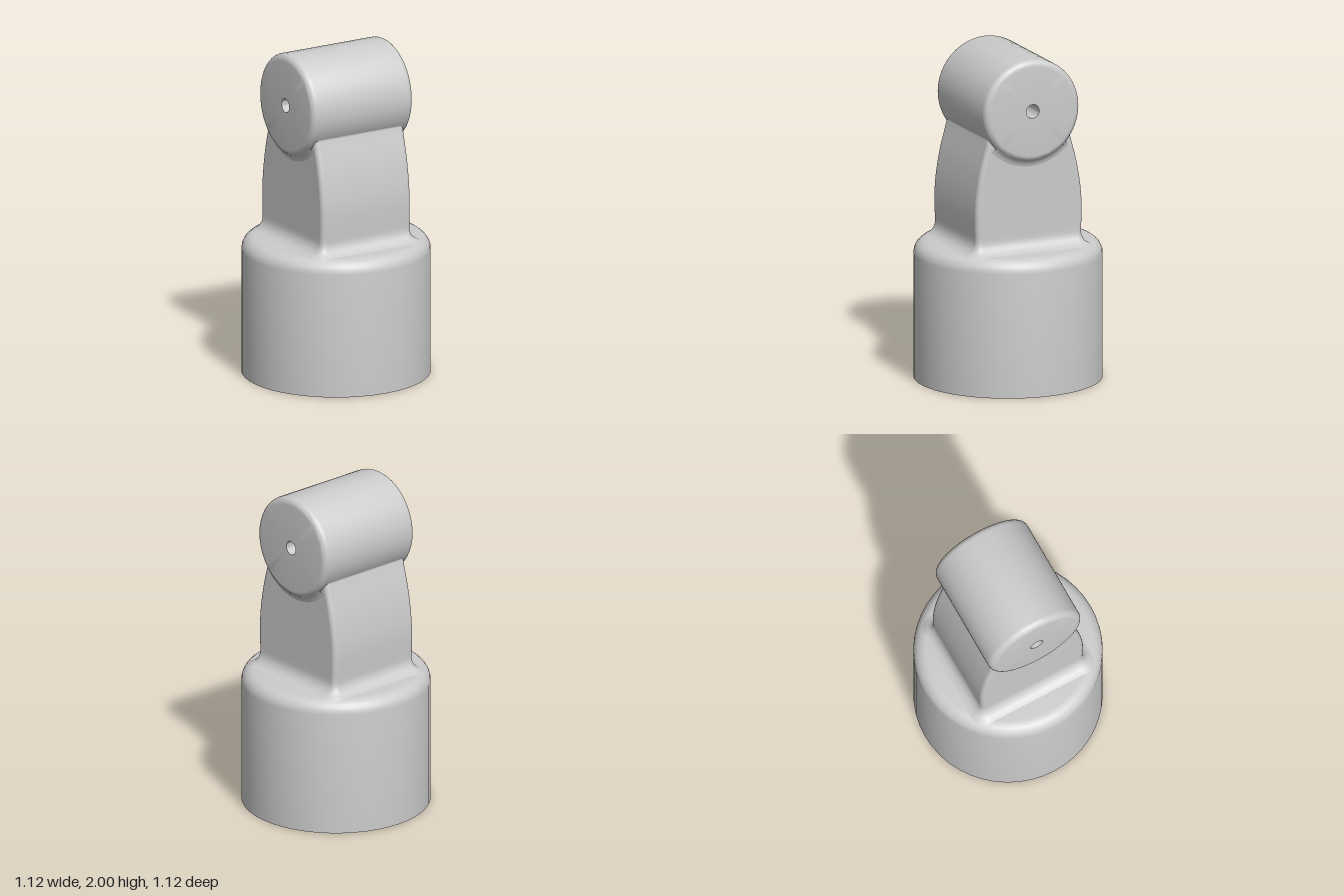
import * as THREE from 'three';
import { toCreasedNormals } from 'three/addons/utils/BufferGeometryUtils.js';

const V = (x, y) => new THREE.Vector2(x, y);
const grey = new THREE.MeshStandardMaterial({ color: 0xcccccc });

// Quarter arc of points for rounded profile corners
function arc(cx, cy, r, from, to, n = 6) {
  return Array.from({ length: n + 1 }, (_, i) => {
    const a = from + ((to - from) * i) / n;
    return V(cx + r * Math.cos(a), cy + r * Math.sin(a));
  });
}

function part(group, name, geometry, material = grey) {
  const mesh = new THREE.Mesh(geometry, material);
  mesh.name = name;
  group.add(mesh);
  return mesh;
}

const BASE_R = 0.56, BASE_H = 0.835, ROUND = 0.08;
const HEAD_Y = 1.69, HEAD_R = 0.31, HEAD_X = 0.352, EDGE = 0.04, HOLE_R = 0.042;

// Height of the base top at a distance from the axis
function baseTop(r) {
  const d = Math.max(0, r - (BASE_R - ROUND));
  return BASE_H - ROUND + Math.sqrt(Math.max(0, ROUND * ROUND - d * d));
}

// Rounded-rectangle sections stacked from the flared foot up into the head
function neckGeometry() {
  const rings = [];
  for (let i = 0; i <= 6; i++) {
    const a = (i / 6) * Math.PI / 2;
    const grow = ROUND * (1 - Math.sin(a));
    rings.push([BASE_H + ROUND * (1 - Math.cos(a)), 0.31 + grow, 0.343 + grow * 0.9, 0.03 + grow]);
  }
  const side = new THREE.SplineCurve([
    V(0.343, 0.915), V(0.347, 1.07), V(0.338, 1.2), V(0.312, 1.35),
    V(0.272, 1.5), V(0.266, 1.53), V(0.274, 1.56), V(0.25, 1.6),
  ]);
  for (const p of side.getPoints(28).slice(1)) rings.push([p.y, 0.31, p.x, 0.03]);

  const pos = [], idx = [], steps = 6, n = 4 * (steps + 1);
  rings.forEach(([y, hx, hz, r], j) => {
    for (let c = 0; c < 4; c++) {
      const sx = c === 0 || c === 3 ? 1 : -1, sz = c < 2 ? 1 : -1;
      for (const p of arc(sx * (hx - r), sz * (hz - r), r, c * Math.PI / 2, (c + 1) * Math.PI / 2, steps)) {
        pos.push(p.x, j ? y : baseTop(p.length()) - 0.002, p.y);
      }
    }
    if (!j) return;
    for (let i = 0; i < n; i++) {
      const a = (j - 1) * n + i, b = (j - 1) * n + ((i + 1) % n);
      idx.push(a, a + n, b, b, a + n, b + n);
    }
  });
  const g = new THREE.BufferGeometry();
  g.setAttribute('position', new THREE.Float32BufferAttribute(pos, 3));
  g.setIndex(idx);
  g.computeVertexNormals();
  return g;
}

export function createModel() {
  const model = new THREE.Group();
  model.name = 'pivotMount';

  // Round base with a softened upper rim
  const baseProfile = [
    V(0, 0), V(BASE_R, 0),
    ...arc(BASE_R - ROUND, BASE_H - ROUND, ROUND, 0, Math.PI / 2),
    V(0, BASE_H),
  ];
  part(model, 'base', toCreasedNormals(new THREE.LatheGeometry(baseProfile, 48), 0.6));

  part(model, 'neck', neckGeometry());

  // Horizontal barrel with a through hole
  const headProfile = [
    V(HOLE_R, -HEAD_X),
    ...arc(HEAD_R - EDGE, -HEAD_X + EDGE, EDGE, -Math.PI / 2, 0),
    ...arc(HEAD_R - EDGE, HEAD_X - EDGE, EDGE, 0, Math.PI / 2),
    V(HOLE_R, HEAD_X), V(HOLE_R, -HEAD_X),
  ];
  const head = part(model, 'head', toCreasedNormals(new THREE.LatheGeometry(headProfile, 48), 0.6));
  head.position.y = HEAD_Y;
  head.rotation.z = -Math.PI / 2;

  // Small coves blending the barrel ends into the neck sides
  const coveProfile = [V(0.35, 0.308), V(0.328, 0.314), V(0.315, 0.322), V(0.305, 0.331)];
  const coveGeometry = new THREE.LatheGeometry(coveProfile, 16, Math.PI / 2 - 0.82, 1.64);
  const coveMaterial = grey.clone();
  coveMaterial.side = THREE.DoubleSide;
  for (const [name, turn] of [['leftCove', 0], ['rightCove', Math.PI]]) {
    const cove = part(model, name, coveGeometry, coveMaterial);
    cove.position.y = HEAD_Y;
    cove.rotation.set(0, turn, -Math.PI / 2);
  }
  return model;
}
